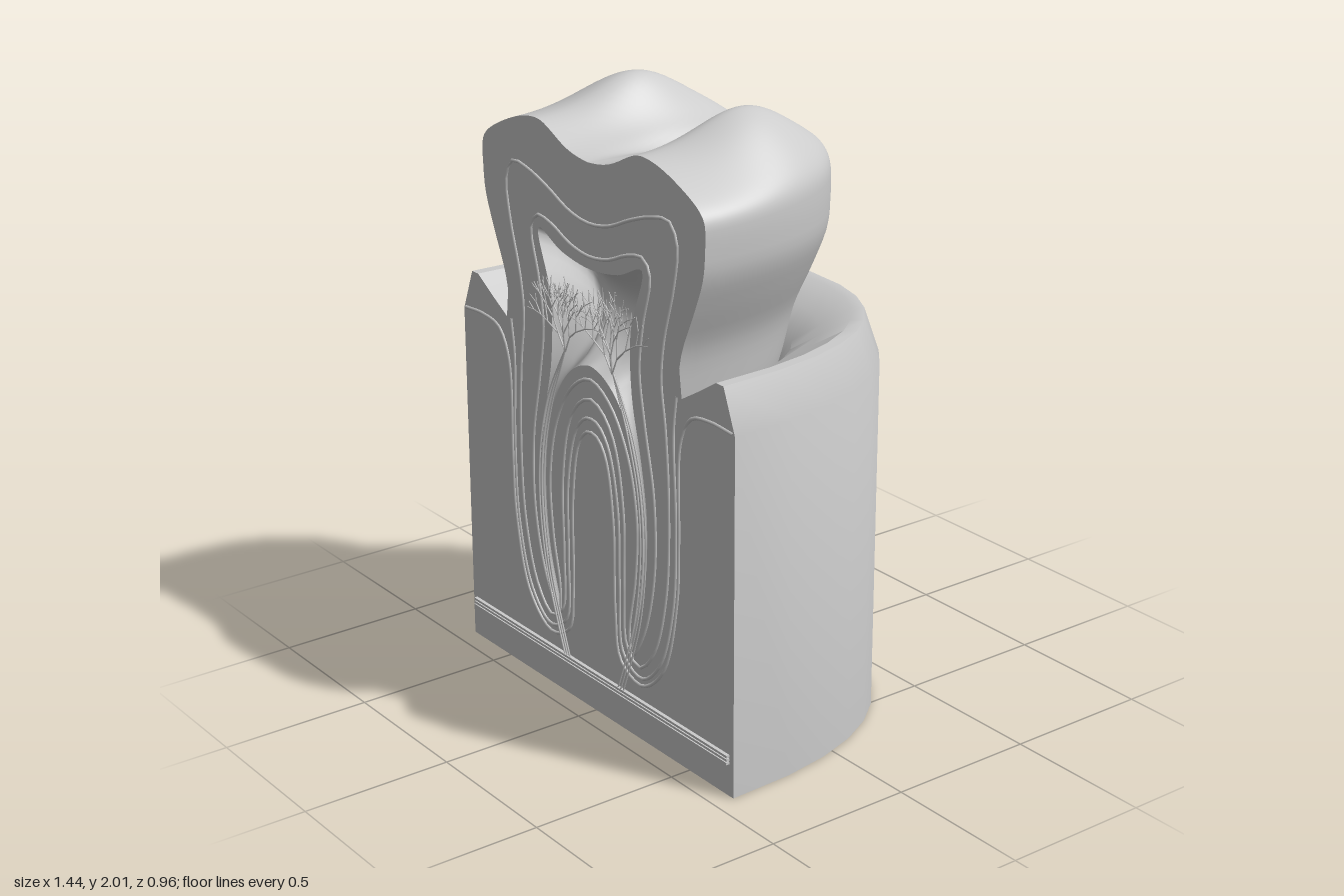
import * as THREE from 'three';
import { toCreasedNormals, mergeGeometries } from 'three/addons/utils/BufferGeometryUtils.js';

const FRONT = 0.43; // z of the flat cut face
const material = new THREE.MeshStandardMaterial({ color: 0xcccccc, side: THREE.DoubleSide });

// Surface from a grid of points: fn(row, col) -> [x, y, z]
function grid(rows, cols, fn) {
  const pos = [], idx = [];
  for (let r = 0; r <= rows; r++)
    for (let c = 0; c <= cols; c++) {
      pos.push(...fn(r, c));
      if (r < rows && c < cols) {
        const a = r * (cols + 1) + c, b = a + cols + 1;
        idx.push(a, b, a + 1, a + 1, b, b + 1);
      }
    }
  const geo = new THREE.BufferGeometry();
  geo.setAttribute('position', new THREE.Float32BufferAttribute(pos, 3));
  geo.setIndex(idx);
  geo.computeVertexNormals();
  return geo;
}

// Point on a D-shaped plan with half width w and depth d, angle 0..PI
function plan(w, d, angle) {
  const c = Math.cos(angle), s = Math.sin(angle), e = 2 / 2.5;
  return [w * Math.sign(c) * Math.abs(c) ** e, FRONT - d * Math.max(s, 0) ** e];
}

// Height of the chewing surface: two cusps parted by a groove
function crownHeight(x, z, s) {
  const a = Math.abs(x) - 0.28;
  const hump = Math.exp(-((a / (a > 0 ? 0.25 : 0.14)) ** 2));
  const ridge = 0.08 + 0.105 * Math.exp(-(((z - 0.04) / 0.21) ** 2));
  const groove = 0.03 * Math.exp(-(((x + 0.03) / 0.035) ** 2) - (((z - 0.06) / 0.2) ** 2));
  const h = 1.835 + hump * ridge - groove;
  return 1.73 + (h - 1.73) * Math.max(0, 1 - s ** 4) ** 0.25;
}

// Profiles as [half width, depth, y]
const gumProfile = [[0.52, 0.68, 1.15], [0.52, 0.68, 0], [0.72, 0.91, 0], [0.72, 0.91, 1.18],
  [0.665, 0.87, 1.32], [0.63, 0.83, 1.32], [0.55, 0.73, 1.27], [0.465, 0.65, 1.22], [0.43, 0.6, 1.15]];
const wallCurve = new THREE.CatmullRomCurve3([[0.43, 0.6, 1.15], [0.44, 0.625, 1.22], [0.465, 0.66, 1.36],
  [0.525, 0.71, 1.5], [0.57, 0.745, 1.62], [0.58, 0.75, 1.73]].map(p => new THREE.Vector3(...p)));
const WALL = 18, TOP = 40;

// Crown row: wall rows first, then rows closing in over the top
function crownPoint(r, angle) {
  if (r <= WALL) {
    const p = wallCurve.getPoint(r / WALL);
    const [x, z] = plan(p.x, p.y, angle);
    return [x, p.z, z];
  }
  const s = 1 - ((r - WALL) / TOP) ** 2;
  const [x, z] = plan(0.58 * s, 0.75 * s, angle);
  return [x, crownHeight(x, z, s), z];
}

// Mirror a half path that ends on the centre line
const mirrored = pts => [...pts, ...pts.slice(0, -1).reverse().map(([x, y]) => [-x, y])];
const curve = (pts, closed = false) => new THREE.CatmullRomCurve3(
  pts.map(([x, y, z = FRONT]) => new THREE.Vector3(x, y, z)), closed);

// Pulp chamber edges, running from root tip to root tip
const pulpOuter = curve(mirrored([[0.205, 0.3], [0.268, 0.5], [0.288, 0.75], [0.26, 0.95], [0.215, 1.15],
  [0.212, 1.36], [0.272, 1.565], [0.15, 1.52], [0, 1.5]]));
const pulpInner = curve(mirrored([[0.19, 0.31], [0.245, 0.5], [0.26, 0.75], [0.225, 0.95], [0.17, 1.07],
  [0.12, 1.13], [0.07, 1.165], [0.03, 1.18], [0, 1.185]]));

// Lines between the tissue layers; loops start and end on the centre line
const loops = {
  enamelLine: [[0, 1.645], [0.1, 1.66], [0.22, 1.71], [0.33, 1.745], [0.41, 1.75], [0.446, 1.69], [0.43, 1.56],
    [0.38, 1.38], [0.365, 1.25], [0.385, 1.1], [0.4, 0.85], [0.385, 0.55], [0.32, 0.33], [0.24, 0.25],
    [0.175, 0.3], [0.165, 0.5], [0.165, 0.75], [0.12, 0.97], [0.06, 1.05], [0, 1.075]],
  dentinLine: [[0, 1.54], [0.1, 1.555], [0.2, 1.595], [0.28, 1.605], [0.312, 1.56], [0.275, 1.4], [0.255, 1.25],
    [0.28, 1.08], [0.325, 0.85], [0.325, 0.6], [0.27, 0.38], [0.2, 0.275], [0.19, 0.36], [0.225, 0.55],
    [0.235, 0.75], [0.19, 0.95], [0.1, 1.09], [0, 1.14]],
};
const openLines = {
  rootLine: [[0.44, 1.22], [0.425, 1.1], [0.435, 0.8], [0.42, 0.52], [0.35, 0.3], [0.25, 0.215], [0.155, 0.27],
    [0.14, 0.5], [0.135, 0.75], [0.09, 0.94], [0.04, 1], [0, 1.01]],
  gumLine: [[0.71, 1.185], [0.6, 1.19], [0.51, 1.17], [0.46, 1.08], [0.45, 0.75], [0.44, 0.55], [0.37, 0.29],
    [0.25, 0.19], [0.14, 0.24], [0.115, 0.4], [0.11, 0.7], [0.075, 0.9], [0.035, 0.955], [0, 0.965]],
};

// Branching nerve ends, merged into one geometry
function nerveTree(side) {
  let seed = side > 0 ? 17 : 43;
  const rand = () => (seed = (seed * 16807) % 2147483647) / 2147483647;
  const parts = [], up = new THREE.Vector3(0, 1, 0);
  function grow(from, lean, length, depth) {
    const dir = new THREE.Vector3(Math.sin(lean), Math.cos(lean), (rand() - 0.42) * 0.4).normalize();
    const to = from.clone().addScaledVector(dir, length);
    to.z = Math.max(to.z, FRONT + 0.003);
    const span = to.clone().sub(from);
    const radius = 0.0018 + depth * 0.0005;
    const geo = new THREE.CylinderGeometry(radius * 0.8, radius, span.length(), 4);
    geo.applyQuaternion(new THREE.Quaternion().setFromUnitVectors(up, span.clone().normalize()));
    geo.translate(...from.clone().add(to).multiplyScalar(0.5).toArray());
    parts.push(geo);
    if (!depth) return;
    for (const turn of [-1, 1])
      grow(to, lean * 0.8 + turn * (0.2 + rand() * 0.4), length * (0.75 + rand() * 0.25), depth - 1);
  }
  for (const lean of [-0.75, -0.3, 0.1, 0.5])
    grow(new THREE.Vector3(side * 0.125, 1.2, FRONT + 0.008), lean, 0.065, 4);
  return mergeGeometries(parts);
}

export function createModel() {
  const model = new THREE.Group();
  const add = (name, geo) => {
    const mesh = new THREE.Mesh(geo, material);
    mesh.name = name;
    model.add(mesh);
    return mesh;
  };
  const tube = (name, path, radius, closed = false) =>
    add(name, new THREE.TubeGeometry(path, 150, radius, 4, closed));

  // Jaw and gum: hollow D-shaped shell with bevelled rim
  const gum = grid(gumProfile.length - 1, 18, (r, c) => {
    const [w, d, y] = gumProfile[r];
    const [x, z] = plan(w, d, (c / 18) * Math.PI);
    return [x, y, z];
  });
  add('gumBlock', toCreasedNormals(gum, 0.5));

  // Crown
  add('crown', grid(WALL + TOP, 64, (r, c) => crownPoint(r, (c / 64) * Math.PI)));

  // Flat cut face with an opening for the pulp chamber
  const half = gumProfile.slice(2, 8).map(([w, , y]) => [w, y]);
  for (let r = 6; r <= WALL + TOP; r++) half.push(crownPoint(r, 0).slice(0, 2));
  const face = new THREE.Shape(mirrored(half).map(p => new THREE.Vector2(...p)));
  const flat = path => path.getPoints(96).map(p => new THREE.Vector2(p.x, p.y));
  face.holes.push(new THREE.Path([...flat(pulpOuter), ...flat(pulpInner).reverse()]));
  add('cutFace', new THREE.ShapeGeometry(face)).position.z = FRONT;

  // Pulp chamber and root canals: a hollow sunk between the two edges
  add('pulpChamber', grid(14, 96, (r, c) => {
    const a = pulpOuter.getPoint(c / 96), b = pulpInner.getPoint(c / 96);
    const depth = 0.17 * Math.min(1, a.distanceTo(b) / 0.3);
    const p = a.lerp(b, r / 14);
    return [p.x, p.y, FRONT - depth * Math.max(0, Math.sin((r / 14) * Math.PI)) ** 0.8];
  }));

  // Layer lines
  for (const [name, pts] of Object.entries(loops))
    tube(name, curve([...pts, ...pts.slice(1, -1).reverse().map(([x, y]) => [-x, y])], true), 0.006, true);
  for (const [name, pts] of Object.entries(openLines)) tube(name, curve(mirrored(pts)), 0.006);

  // Main vessels along the bottom
  for (const y of [0.113, 0.125, 0.137])
    add('mainVessel', new THREE.BoxGeometry(1.4, 0.008, 0.014)).position.set(0, y, FRONT + 0.005);

  // Root vessels and nerve endings on each side
  for (const side of [1, -1]) {
    for (const off of [-0.014, 0, 0.014]) {
      const path = [[0.145 + off, 0.13], [0.19 + off, 0.25], [0.245 + off, 0.42], [0.275 + off, 0.65],
        [0.262 + off, 0.85], [0.215 + off, 1.02], [0.16 + off * 0.5, 1.14], [0.125, 1.21]];
      tube('rootVessel', curve(path.map(([x, y]) => [side * x, y, FRONT + 0.007])), 0.0035);
    }
    add('nerveEndings', nerveTree(side));
  }
  return model;
}
